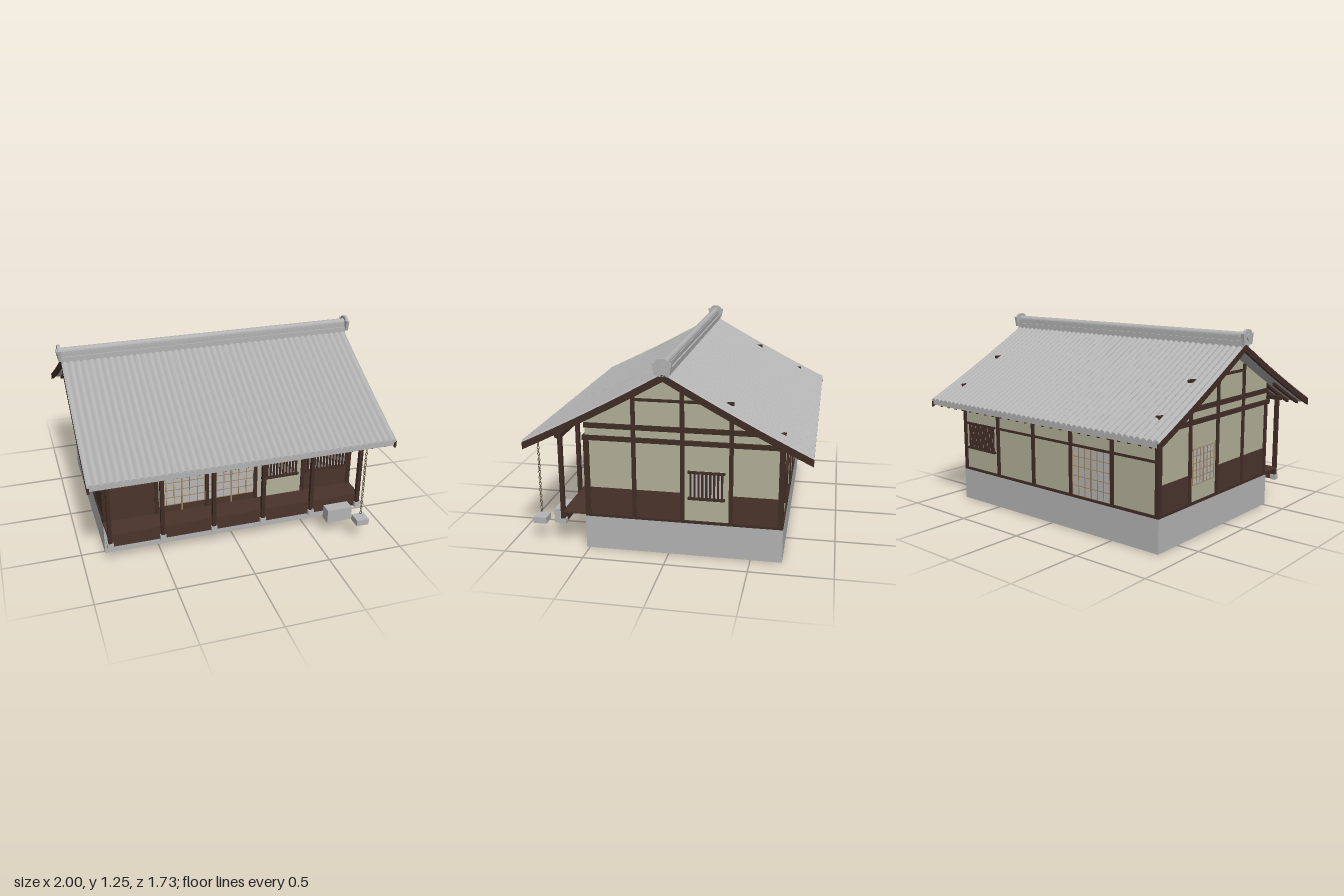
import * as THREE from 'three';
import { toCreasedNormals } from 'three/addons/utils/BufferGeometryUtils.js';

const mat = (name, color) => Object.assign(new THREE.MeshStandardMaterial({ color }), { name });
const M = {
  tile: mat('grey tile', 0xb2b2b2),
  stone: mat('grey stone', 0xb4b4b4),
  plaster: mat('plaster', 0xb1b098),
  timber: mat('dark timber', 0x412d26),
  board: mat('brown board', 0x4a342c),
  paper: mat('paper', 0xb8b5b3),
  muntin: mat('tan muntin', 0x9c8560),
  chain: mat('chain metal', 0x6a6350),
};

const EAVE = 0.855;
// Height of the slightly sagging roof plane at depth z
const roofY = z => {
  const t = Math.abs(z) / EAVE;
  return 1.155 - 0.45 * t - 0.04 * t * (1 - t);
};

function add(parent, name, geo, material) {
  const m = new THREE.Mesh(geo, material);
  m.name = name;
  parent.add(m);
  return m;
}

// Box given by its extents
function box(parent, name, material, x0, x1, y0, y1, z0, z1) {
  const m = add(parent, name, new THREE.BoxGeometry(x1 - x0, y1 - y0, z1 - z0), material);
  m.position.set((x0 + x1) / 2, (y0 + y1) / 2, (z0 + z1) / 2);
  return m;
}

// Outline in (z, y), extruded along x
function sideExtrude(points, x0, x1) {
  const shape = new THREE.Shape(points.map(p => new THREE.Vector2(p[0], p[1])));
  return new THREE.ExtrudeGeometry(shape, { depth: x1 - x0, bevelEnabled: false, curveSegments: 10 })
    .rotateY(-Math.PI / 2).translate(x1, 0, 0);
}

// Points following the roof from z0 to z1, shifted by dy
function roofLine(z0, z1, dy) {
  const zs = [];
  for (let i = 0; i <= 12; i++) zs.push(z0 + (z1 - z0) * i / 12);
  if (z0 * z1 < 0) zs.push(0);
  zs.sort((a, b) => a - b);
  return zs.map(z => [z, roofY(z) + dy]);
}
const band = (z0, z1, top, bottom) => [...roofLine(z0, z1, bottom), ...roofLine(z0, z1, top).reverse()];

// Barred window on a wall whose outside is local +z
function lattice(wall, u0, u1, y0, y1) {
  const g = new THREE.Group();
  g.name = 'latticeWindow';
  wall.add(g);
  box(g, 'windowPaper', M.paper, u0, u1, y0, y1, -0.005, 0.003);
  for (const y of [y0, y1 - 0.014]) box(g, 'windowRail', M.timber, u0 - 0.012, u1 + 0.012, y, y + 0.014, 0, 0.018);
  const n = Math.round((u1 - u0) / 0.024);
  for (let i = 0; i <= n; i++) {
    const u = u0 + 0.006 + (u1 - u0 - 0.012) * i / n;
    box(g, 'windowBar', M.timber, u - 0.006, u + 0.006, y0, y1, 0, 0.012);
  }
}

// Paper screen with a tan grid and a thicker centre stile
function screen(wall, u0, u1, y0, y1, kick) {
  const g = new THREE.Group();
  g.name = 'paperScreen';
  wall.add(g);
  box(g, 'screenPaper', M.paper, u0, u1, y0, y1, -0.005, 0.002);
  if (kick) box(g, 'kickBoard', M.board, u0, u1, kick, y0, -0.005, 0.004);
  for (let i = 0; i <= 6; i++) {
    const u = u0 + (u1 - u0) * i / 6, w = i === 3 ? 0.005 : 0.002;
    box(g, 'screenStile', M.muntin, u - w, u + w, i === 3 && kick ? kick : y0, y1, 0, 0.006);
  }
  for (let i = 0; i <= 5; i++) {
    const y = y0 + (y1 - y0) * i / 5;
    box(g, 'screenRail', M.muntin, u0, u1, y - 0.002, y + 0.002, 0, 0.005);
  }
}

function wallGroup(root, name, x, z, turn) {
  const g = new THREE.Group();
  g.name = name;
  g.position.set(x, 0, z);
  g.rotation.y = turn;
  root.add(g);
  return g;
}

// Foundation: open-bottomed skirt and floor
function foundation(root) {
  box(root, 'foundationFront', M.stone, -0.85, 0.85, 0, 0.21, 0.505, 0.52);
  box(root, 'foundationBack', M.stone, -0.85, 0.85, 0, 0.21, -0.69, -0.675);
  for (const s of [-1, 1]) box(root, 'foundationSide', M.stone, s * 0.8425 - 0.0075, s * 0.8425 + 0.0075, 0, 0.21, -0.675, 0.505);
  box(root, 'floor', M.stone, -0.84, 0.84, 0.195, 0.209, -0.68, 0.51);
}

const POSTS = [-0.835, -0.5, -0.165, 0.165, 0.5, 0.835];

function longWalls(root) {
  const front = wallGroup(root, 'frontWall', 0, 0.51, 0);
  const back = wallGroup(root, 'backWall', 0, -0.68, Math.PI);
  for (const [w, top] of [[front, 0.84], [back, 0.76]]) {
    box(w, 'plasterWall', M.plaster, -0.84, 0.84, 0.21, top, -0.02, 0);
    box(w, 'sill', M.timber, -0.85, 0.85, 0.21, 0.226, -0.01, 0.01);
    box(w, 'wallBeam', M.timber, -0.86, 0.86, 0.703, 0.732, -0.015, 0.014);
    for (const u of POSTS) box(w, 'wallPost', M.timber, u - 0.0125, u + 0.0125, 0.21, 0.72, -0.015, 0.01);
  }
  // Front bays
  box(front, 'boardPanel', M.board, -0.825, -0.51, 0.225, 0.555, -0.005, 0.004);
  box(front, 'boardPanel', M.board, 0.51, 0.825, 0.225, 0.555, -0.005, 0.002);
  box(front, 'lintel', M.timber, -0.83, 0.165, 0.55, 0.566, -0.005, 0.009);
  box(front, 'lintel', M.timber, 0.5, 0.83, 0.55, 0.562, -0.005, 0.009);
  screen(front, -0.488, -0.178, 0.28, 0.55, 0.226);
  screen(front, -0.153, 0.153, 0.28, 0.55, 0.226);
  lattice(front, 0.22, 0.455, 0.365, 0.55);
  lattice(front, 0.53, 0.815, 0.37, 0.535);
  // Back bays
  lattice(back, -0.79, -0.54, 0.365, 0.55);
  box(back, 'middleRail', M.timber, -0.5, 0.83, 0.535, 0.55, -0.005, 0.007);
  screen(back, 0.18, 0.485, 0.226, 0.535, 0);
}

function sideWalls(root) {
  for (const s of [1, -1]) {
    const w = wallGroup(root, s > 0 ? 'leftGable' : 'rightGable', s * 0.84, 0, s * Math.PI / 2);
    const slab = [[-0.68, 0.21], [0.51, 0.21], ...roofLine(-0.68, 0.51, -0.02).reverse()];
    add(root, 'gablePlaster', sideExtrude(slab, s > 0 ? 0.82 : -0.84, s > 0 ? 0.84 : -0.82), M.plaster);
    // Beam along z, given from back to front
    const part = (name, m, z0, z1, y0, y1, d) =>
      s > 0 ? box(w, name, m, -z1, -z0, y0, y1, -0.015, d) : box(w, name, m, z0, z1, y0, y1, -0.015, d);
    for (const [z0, z1] of [[-0.68, -0.377], [-0.085, 0.21], [0.21, 0.51]]) part('wainscot', M.board, z0, z1, 0.21, 0.4, 0.004);
    for (const [z, top] of [[0.498, 0.72], [0.21, 1.005], [-0.085, 1.085], [-0.377, 0.91], [-0.67, 0.72]])
      part('gablePost', M.timber, z - 0.0125, z + 0.0125, 0.21, top, 0.01);
    part('sill', M.timber, -0.685, 0.515, 0.21, 0.226, 0.01);
    part('lowerBeam', M.timber, -0.695, 0.52, 0.703, 0.732, 0.014);
    part('upperBeam', M.timber, -0.69, 0.512, 0.78, 0.81, 0.014);
    part('collarBeam', M.timber, -0.388, 0.21, 0.957, 0.974, 0.008);
    if (s > 0) lattice(w, 0.13, 0.33, 0.365, 0.545);
    else screen(w, -0.345, -0.12, 0.33, 0.55, 0);
  }
}

function porch(root) {
  box(root, 'porchDeck', M.board, -0.85, 0.85, 0.219, 0.232, 0.515, 0.665);
  box(root, 'porchSkirt', M.board, -0.84, 0.84, 0.144, 0.222, 0.657, 0.667);
  box(root, 'porchBeam', M.timber, -0.87, 0.87, 0.708, 0.735, 0.652, 0.69);
  for (const x of POSTS) {
    box(root, 'porchPost', M.timber, x - 0.0125, x + 0.0125, 0.175, 0.72, 0.657, 0.682);
    box(root, 'postStone', M.stone, x - 0.019, x + 0.019, 0.142, 0.177, 0.648, 0.688);
  }
  box(root, 'steppingStone', M.stone, 0.588, 0.758, 0.105, 0.197, 0.683, 0.757);
  box(root, 'drainStone', M.stone, 0.744, 0.828, 0.122, 0.163, 0.788, 0.872);
  // Rain chain of alternating links
  const link = new THREE.TorusGeometry(0.0075, 0.0025, 5, 8);
  for (let i = 0; i < 25; i++) {
    const l = add(root, 'rainChainLink', link, M.chain);
    l.position.set(0.785, 0.195 + i * 0.0198, 0.83);
    l.scale.y = 1.3;
    l.rotation.y = (i % 2) * Math.PI / 2;
  }
}

// Half of the ribbed tiling, from the ridge to a closed eave edge
function tileSlope() {
  const ribs = 46, per = 6, rows = 9;
  const geo = new THREE.PlaneGeometry(1.95, 1, ribs * per, rows);
  const p = geo.attributes.position;
  for (let i = 0; i < p.count; i++) {
    const col = i % (ribs * per + 1), row = Math.floor(i / (ribs * per + 1));
    const z = Math.min(row / (rows - 1), 1) * EAVE;
    const rib = row === rows ? -0.005 : 0.002 + 0.014 * Math.abs(Math.sin(Math.PI * col / per));
    p.setXYZ(i, p.getX(i), roofY(z) + rib, z);
  }
  return toCreasedNormals(geo, 0.7);
}

function roof(root) {
  add(root, 'roofDeck', sideExtrude(band(-0.852, 0.852, 0, -0.03), -0.962, 0.962), M.tile);
  const slope = tileSlope();
  add(root, 'frontTiles', slope, M.tile);
  add(root, 'backTiles', slope.clone().rotateY(Math.PI), M.tile);
  for (const x of [-0.975, 0.96]) add(root, 'bargeBoard', sideExtrude(band(-EAVE, EAVE, 0.001, -0.043), x, x + 0.015), M.timber);
  // Exposed rafters under both eaves
  const rafters = [sideExtrude(band(0.5, 0.835, -0.028, -0.05), -0.01, 0.01), sideExtrude(band(-0.835, -0.67, -0.028, -0.05), -0.01, 0.01)];
  for (let i = 0; i < 25; i++)
    for (const r of rafters) add(root, 'rafter', r, M.timber).position.x = -0.9 + i * 0.075;
  // Ridge courses and round cap
  box(root, 'ridgeBase', M.tile, -0.975, 0.975, 1.14, 1.178, -0.038, 0.038);
  box(root, 'ridgeCourse', M.tile, -0.98, 0.98, 1.175, 1.205, -0.028, 0.028);
  add(root, 'ridgeCap', new THREE.CylinderGeometry(0.024, 0.024, 1.97, 14).rotateZ(Math.PI / 2), M.tile).position.y = 1.206;
  // End ornaments with ears, rounded top and a boss
  const half = [[0.045, 1.155], [0.052, 1.195], [0.058, 1.224], [0.043, 1.22], [0.034, 1.235], [0.018, 1.246]];
  const outline = [...half, ...half.map(([z, y]) => [-z, y]).reverse()];
  for (const s of [-1, 1]) {
    add(root, 'ridgeEnd', sideExtrude(outline, s * 0.982 - 0.01, s * 0.982 + 0.01), M.tile);
    add(root, 'ridgeBoss', new THREE.CylinderGeometry(0.022, 0.022, 0.008, 16).rotateZ(Math.PI / 2), M.tile).position.set(s * 0.995, 1.203, 0);
  }
}

export function createModel() {
  const root = new THREE.Group();
  root.name = 'farmhouse';
  foundation(root);
  longWalls(root);
  sideWalls(root);
  porch(root);
  roof(root);
  return root;
}
